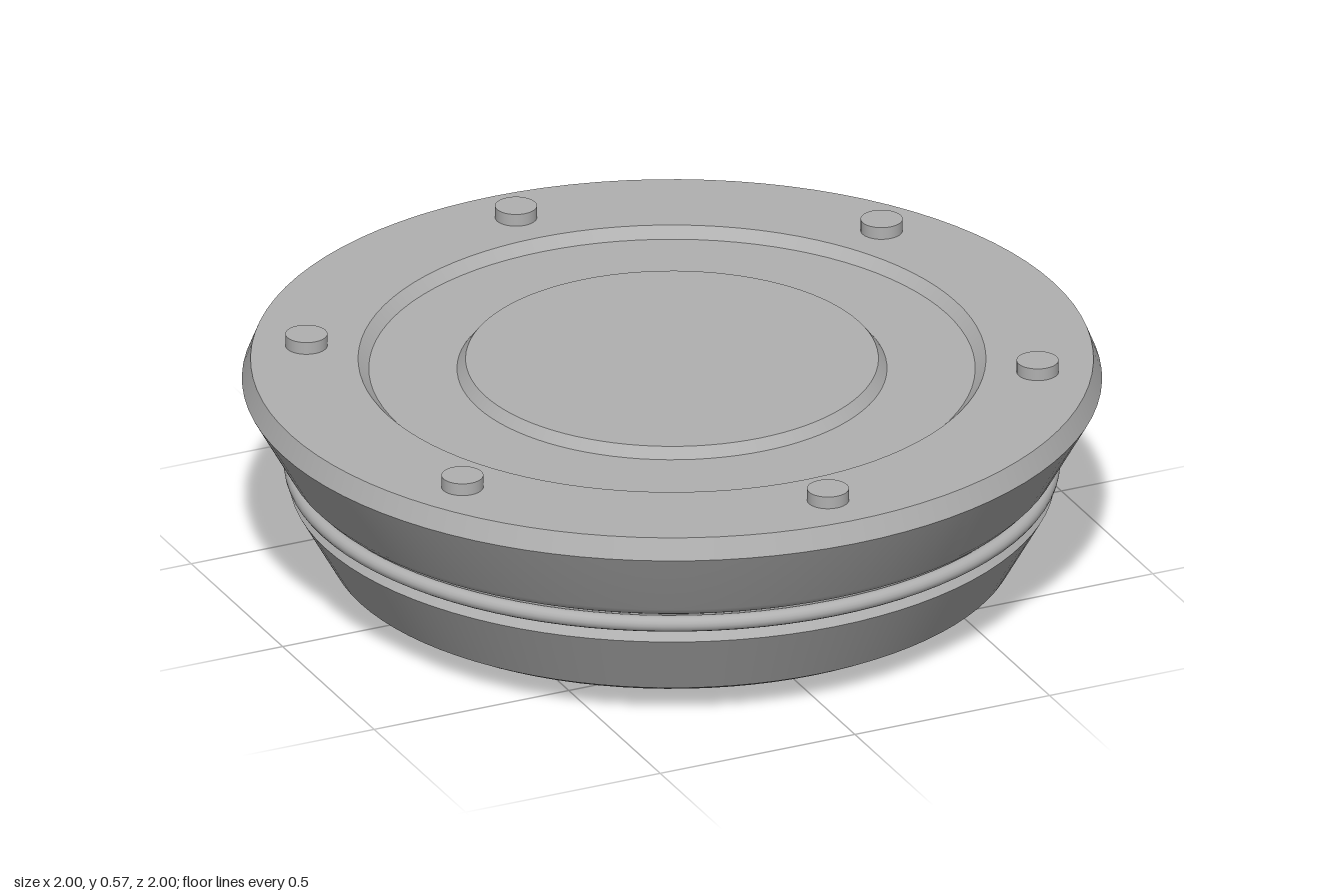
import * as THREE from 'three';

const SIDES = 96;

export function createModel() {
  const root = new THREE.Group();
  root.name = 'flangedCap';
  const metal = new THREE.MeshStandardMaterial({ color: 0xb0b0b0 });
  metal.name = 'grey metal';

  const add = (name, geometry, parent = root) => {
    const mesh = new THREE.Mesh(geometry, metal);
    mesh.name = name;
    parent.add(mesh);
    return mesh;
  };

  // One smooth surface of revolution; separate runs keep the edges between them sharp
  const revolve = (name, ...points) =>
    add(name, new THREE.LatheGeometry(points.map(([r, y]) => new THREE.Vector2(r, y)), SIDES));

  // Foot
  revolve('footBase', [0, 0], [0.42, 0]);
  revolve('footWall', [0.42, 0], [0.43, 0.045]);

  // Lower body with its softened bottom edge
  revolve('underside', [0.42, 0.045], [0.73, 0.045]);
  revolve('bottomEdge', [0.73, 0.045], [0.775, 0.056], [0.8, 0.07]);
  revolve('lowerWall', [0.8, 0.07], [0.89, 0.23]);
  revolve('lowerShoulder', [0.89, 0.23], [0.872, 0.256]);

  // Groove and sealing ring
  revolve('grooveWall', [0.872, 0.256], [0.872, 0.294]);
  const ring = add('sealingRing', new THREE.TorusGeometry(0.884, 0.019, 16, SIDES));
  ring.rotation.x = Math.PI / 2;
  ring.position.y = 0.275;

  // Flared upper body and rim
  revolve('upperFlare', [0.872, 0.294], [0.888, 0.302], [0.905, 0.32], [1, 0.49]);
  revolve('rimBevel', [1, 0.49], [0.98, 0.54]);
  revolve('rimTop', [0.98, 0.54], [0.73, 0.54]);

  // Sunken channel around the raised centre
  revolve('channelOuterWall', [0.73, 0.54], [0.705, 0.515]);
  revolve('channelFloor', [0.705, 0.515], [0.5, 0.515]);
  revolve('centreWall', [0.5, 0.515], [0.48, 0.54]);
  revolve('centreTop', [0.48, 0.54], [0, 0.54]);

  // Six bolt heads on the rim
  const bolts = new THREE.Group();
  bolts.name = 'bolts';
  root.add(bolts);
  const boltGeometry = new THREE.CylinderGeometry(0.049, 0.049, 0.04, 32);
  for (let i = 0; i < 6; i++) {
    const a = (i * Math.PI) / 3;
    add('bolt', boltGeometry, bolts).position.set(Math.sin(a) * 0.853, 0.55, Math.cos(a) * 0.853);
  }
  return root;
}
